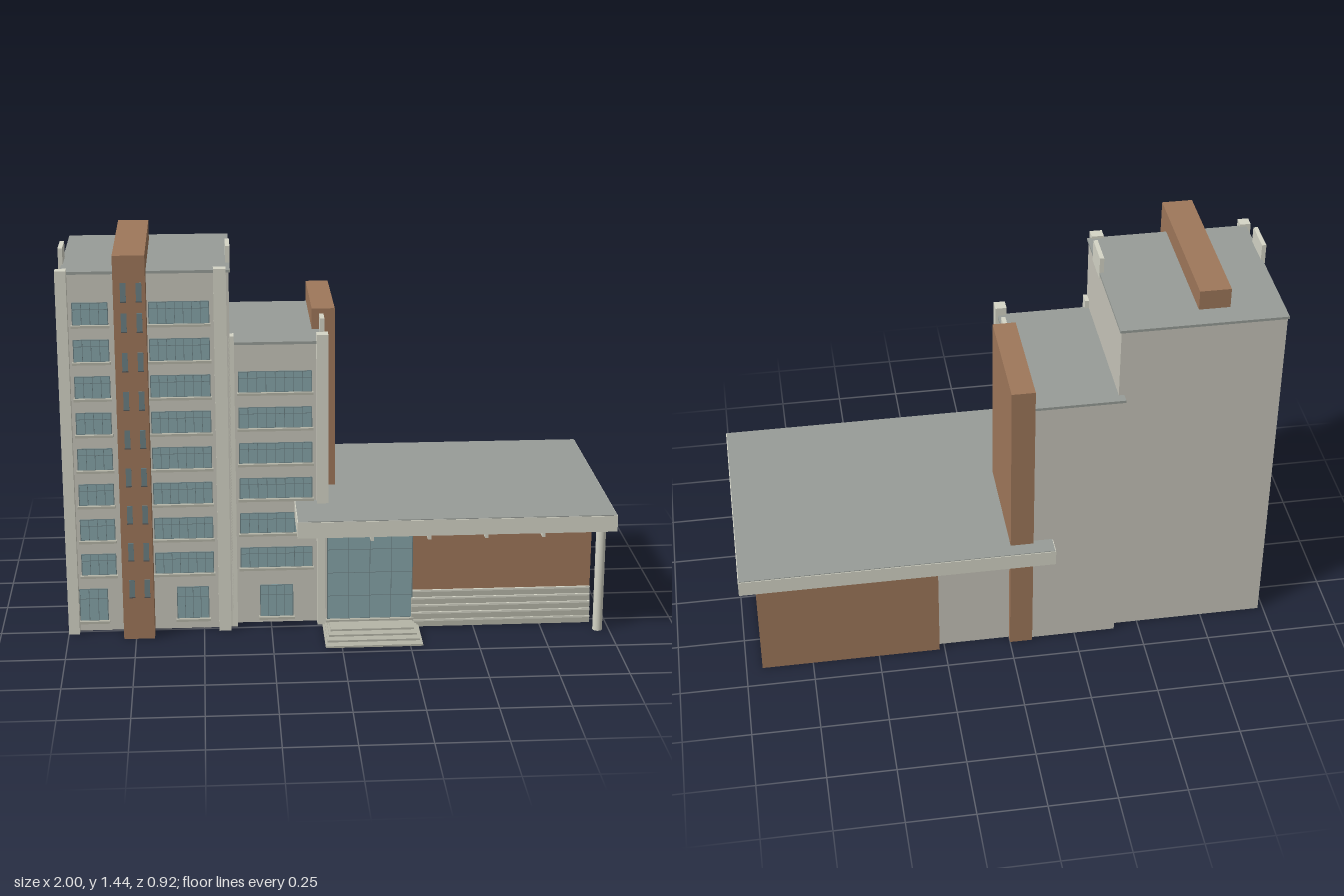
import * as THREE from 'three';

const mat = (color) => new THREE.MeshStandardMaterial({ color });
const M = {
  wall: mat(0xc6c4b9), trim: mat(0xd4d4c6), brick: mat(0x9e775a),
  glass: mat(0x86a3a7), frame: mat(0x6a7f82), roof: mat(0x979c97),
  dark: mat(0x55595a), stone: mat(0xb4b4a6),
};

// Box given by its extents on each axis
function box(parent, name, m, x0, x1, y0, y1, z0, z1) {
  const mesh = new THREE.Mesh(new THREE.BoxGeometry(x1 - x0, y1 - y0, z1 - z0), m);
  mesh.position.set((x0 + x1) / 2, (y0 + y1) / 2, (z0 + z1) / 2);
  mesh.name = name;
  parent.add(mesh);
  return mesh;
}

// Glazed panel facing +z, centred on x, standing on y = 0 with its back at z = 0
function glazing(name, w, h, cols, rows, sill = true) {
  const g = new THREE.Group();
  g.name = name;
  const t = 0.003;
  box(g, 'pane', M.glass, -w / 2, w / 2, 0, h, -0.004, 0.004);
  for (let i = 0; i <= cols; i++) {
    const x = -w / 2 + (w * i) / cols, e = i % cols ? t / 3 : t / 2;
    box(g, 'mullion', M.frame, x - e, x + e, 0, h, 0, 0.006);
  }
  for (const f of rows) {
    box(g, 'transom', M.frame, -w / 2, w / 2, f * h - t / 3, f * h + t / 3, 0, 0.006);
  }
  if (sill) box(g, 'sill', M.stone, -w / 2 - 0.006, w / 2 + 0.006, -0.009, 0, -0.004, 0.02);
  return g;
}

function addWindow(parent, x0, x1, y0, y1, z, cols) {
  const g = glazing('window', x1 - x0, y1 - y0, cols, [0, 0.7, 1]);
  g.position.set((x0 + x1) / 2, y0, z);
  parent.add(g);
}

const floorY = (i) => 0.222 + i * 0.1357;

function tower() {
  const g = new THREE.Group();
  g.name = 'tower';
  box(g, 'towerWalls', M.wall, -0.98, -0.39, 0, 1.355, -0.365, 0.24);
  box(g, 'towerRoof', M.roof, -0.985, -0.385, 1.355, 1.365, -0.37, 0.245);
  // Front corner piers and roof edge panels
  box(g, 'pier', M.trim, -1, -0.96, 0, 1.375, 0.235, 0.275);
  box(g, 'pier', M.trim, -0.445, -0.4, 0, 1.375, 0.235, 0.275);
  for (const x of [-0.995, -0.4]) box(g, 'roofPanel', M.trim, x, x + 0.016, 1.34, 1.425, 0.005, 0.13);
  // Brick spine running over the roof
  box(g, 'brickSpine', M.brick, -0.795, -0.682, 0, 1.44, -0.28, 0.33);
  for (const x of [-0.76, -0.705]) {
    for (let i = 0; i < 9; i++) {
      const y = i === 8 ? 1.31 : 0.2 + i * 0.143;
      box(g, 'slitWindow', M.frame, x - 0.01, x + 0.01, y - 0.033, y + 0.033, 0.326, 0.333);
      box(g, 'slitSill', M.dark, x - 0.011, x + 0.011, y - 0.037, y - 0.033, 0.326, 0.335);
    }
  }
  for (let i = 0; i < 8; i++) {
    addWindow(g, -0.945, -0.82, floorY(i), floorY(i) + 0.08, 0.24, 4);
    addWindow(g, -0.675, -0.462, floorY(i), floorY(i) + 0.08, 0.24, 7);
  }
  addWindow(g, -0.957, -0.855, 0.042, 0.165, 0.24, 3);
  addWindow(g, -0.598, -0.482, 0.042, 0.165, 0.24, 4);
  return g;
}

function middleBlock() {
  const g = new THREE.Group();
  g.name = 'middleBlock';
  box(g, 'middleWalls', M.wall, -0.405, -0.05, 0, 1.078, -0.395, 0.2);
  box(g, 'middleRoof', M.roof, -0.41, -0.045, 1.078, 1.088, -0.4, 0.205);
  box(g, 'pier', M.trim, -0.395, -0.375, 0, 1.12, 0.195, 0.24);
  box(g, 'pier', M.trim, -0.078, -0.036, 0, 1.12, 0.195, 0.24);
  box(g, 'roofPanel', M.trim, -0.058, -0.042, 1.06, 1.145, 0, 0.1);
  box(g, 'brickSlab', M.brick, -0.085, 0, 0, 1.165, -0.41, 0.03);
  for (let i = 0; i < 6; i++) {
    addWindow(g, -0.36, -0.095, floorY(i), floorY(i) + 0.077, 0.2, 8);
  }
  addWindow(g, -0.29, -0.17, 0.042, 0.165, 0.24, 4);
  // Narrow side windows beside the brick slab
  for (let i = 2; i < 6; i++) {
    const w = glazing('sideWindow', 0.05, 0.077, 1, [0, 1], false);
    w.rotation.y = Math.PI / 2;
    w.position.set(-0.05, floorY(i), 0.055);
    g.add(w);
  }
  return g;
}

function pavilion() {
  const g = new THREE.Group();
  g.name = 'pavilion';
  box(g, 'brickHall', M.brick, 0.27, 0.94, 0, 0.4, -0.41, 0.262);
  box(g, 'entranceHall', M.wall, -0.05, 0.27, 0, 0.4, -0.38, 0.255);
  // Large entrance glazing
  const glass = glazing('entranceGlazing', 0.315, 0.365, 4, [0, 0.25, 0.5, 0.75, 1]);
  glass.position.set(0.115, 0.035, 0.264);
  g.add(glass);
  // Stepped stone courses at the foot of the brick wall
  for (let i = 0; i < 5; i++) {
    box(g, 'stoneCourse', M.stone, 0.27, 0.94, i * 0.028, i * 0.028 + 0.028, 0.255, 0.281 - i * 0.0035);
    box(g, 'courseEdge', M.trim, 0.27, 0.94, i * 0.028 + 0.021, i * 0.028 + 0.028, 0.255, 0.283 - i * 0.0035);
  }
  // Flat canopy with fascia, soffit and beams
  box(g, 'fascia', M.trim, -0.16, 1, 0.418, 0.478, -0.465, 0.435);
  box(g, 'canopyRoof', M.roof, -0.157, 0.997, 0.476, 0.481, -0.462, 0.432);
  box(g, 'soffit', M.roof, -0.14, 0.98, 0.413, 0.42, -0.445, 0.415);
  for (let i = 0; i < 4; i++) {
    const x = 0.11 + i * 0.208;
    box(g, 'beam', M.trim, x - 0.006, x + 0.006, 0.398, 0.415, -0.435, 0.42);
  }
  box(g, 'wallPlate', M.roof, -0.04, 0.935, 0.398, 0.415, -0.375, 0.255);
  // Round corner column
  const column = new THREE.Mesh(new THREE.CylinderGeometry(0.018, 0.018, 0.42, 24), M.trim);
  column.position.set(0.958, 0.21, 0.347);
  column.name = 'cornerColumn';
  g.add(column);
  // Entrance steps
  for (let i = 0; i < 4; i++) {
    box(g, 'step', M.stone, -0.06 + i * 0.008, 0.296 - i * 0.008, i * 0.007, (i + 1) * 0.007, 0.25, 0.46 - i * 0.035);
  }
  return g;
}

export function createModel() {
  const model = new THREE.Group();
  model.name = 'officeBuilding';
  model.add(tower(), middleBlock(), pavilion());
  return model;
}
